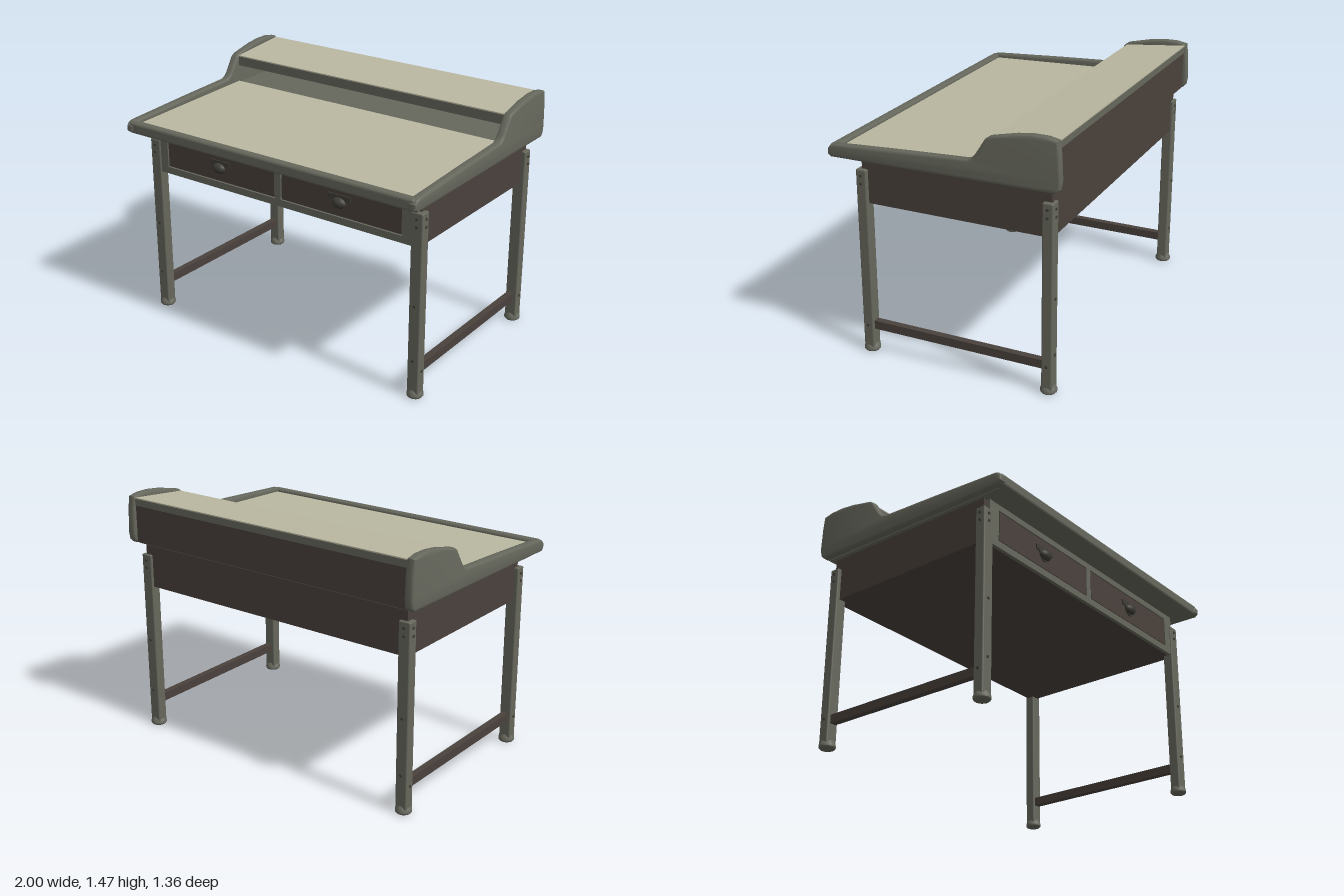
import * as THREE from 'three';
import { toCreasedNormals } from 'three/addons/utils/BufferGeometryUtils.js';
import { RoundedBoxGeometry } from 'three/addons/geometries/RoundedBoxGeometry.js';

const paint = (name, color) => {
  const m = new THREE.MeshStandardMaterial({ color });
  m.name = name;
  return m;
};

export function createModel() {
  const desk = new THREE.Group();
  desk.name = 'writingDesk';
  const frameGreen = paint('greyGreen', 0x66675c);
  const panelBrown = paint('darkBrown', 0x4a413c);
  const topCream = paint('cream', 0xbab8a1);
  const ironDark = paint('darkIron', 0x3f3d37);

  const add = (name, geometry, material, x = 0, y = 0, z = 0, parent = desk) => {
    const mesh = new THREE.Mesh(geometry, material);
    mesh.name = name;
    mesh.position.set(x, y, z);
    parent.add(mesh);
    return mesh;
  };
  // box given by its lower and upper limits on each axis
  const block = (name, material, [x0, x1], [y0, y1], [z0, z1], r = 0) => {
    const s = [x1 - x0, y1 - y0, z1 - z0];
    const g = r ? new RoundedBoxGeometry(...s, 2, r) : new THREE.BoxGeometry(...s);
    return add(name, g, material, (x0 + x1) / 2, (y0 + y1) / 2, (z0 + z1) / 2);
  };
  // side profile of [z, y] points extruded across x, centred on x = 0
  const prism = (points, width, bevel = 0) => {
    const shape = new THREE.Shape(points.map(([z, y]) => new THREE.Vector2(z, y)));
    const depth = width - 2 * bevel;
    const g = new THREE.ExtrudeGeometry(shape, {
      depth, bevelEnabled: bevel > 0, bevelSize: bevel, bevelOffset: -bevel,
      bevelThickness: bevel, bevelSegments: 3,
    });
    g.translate(0, 0, -depth / 2);
    g.rotateY(-Math.PI / 2);
    return toCreasedNormals(g, 0.6);
  };

  // shaped side boards
  const sideProfile = [
    [0.66, 1.165], [0.68, 1.18], [0.68, 1.21], [0.665, 1.23], [0.64, 1.239],
    [0.2, 1.264], [-0.16, 1.281], [-0.185, 1.292], [-0.205, 1.315], [-0.262, 1.405],
    [-0.285, 1.421], [-0.36, 1.438], [-0.43, 1.454], [-0.52, 1.465], [-0.6, 1.465],
    [-0.66, 1.453], [-0.67, 1.38], [-0.677, 1.24], [-0.67, 1.195], [-0.65, 1.176],
  ];
  for (const s of [-1, 1]) {
    add(s > 0 ? 'leftSideBoard' : 'rightSideBoard', prism(sideProfile, 0.052, 0.013),
      frameGreen, s * 0.974);
  }

  // sloping writing surface with a front rail
  add('topBoard', prism([
    [0.64, 1.165], [0.64, 1.209], [-0.28, 1.239], [-0.64, 1.245], [-0.64, 1.172],
  ], 1.9), frameGreen);
  add('writingSurface', prism([
    [0.635, 1.2], [0.635, 1.216], [-0.275, 1.246], [-0.275, 1.23],
  ], 1.9), topCream);
  block('frontRail', frameGreen, [-0.985, 0.985], [1.165, 1.236], [0.622, 0.676], 0.018);

  // raised shelf at the back
  add('shelfLid', prism([
    [-0.278, 1.348], [-0.278, 1.404], [-0.655, 1.44], [-0.655, 1.4], [-0.3, 1.375],
    [-0.3, 1.348],
  ], 1.9), frameGreen);
  add('shelfTop', prism([
    [-0.28, 1.404], [-0.28, 1.411], [-0.655, 1.447], [-0.655, 1.44],
  ], 1.9), topCream);
  block('shelfBack', panelBrown, [-0.95, 0.95], [1.18, 1.41], [-0.652, -0.625]);

  // drawer body
  block('drawerBody', panelBrown, [-0.928, 0.928], [0.904, 1.17], [-0.606, 0.51]);

  // front frame with two drawer openings
  const rect = (target, x0, x1, y0, y1) => {
    target.moveTo(x0, y0);
    target.lineTo(x1, y0);
    target.lineTo(x1, y1);
    target.lineTo(x0, y1);
    target.closePath();
    return target;
  };
  const front = rect(new THREE.Shape(), -0.9, 0.9, 0.902, 1.168);
  for (const s of [-1, 1]) {
    const xs = [s * 0.02, s * 0.825].sort((a, b) => a - b);
    front.holes.push(rect(new THREE.Path(), ...xs, 0.943, 1.13));
  }
  add('frontFrame', new THREE.ExtrudeGeometry(front, { depth: 0.022, bevelEnabled: false }),
    frameGreen, 0, 0, 0.508);

  // drawer fronts and their cup handles
  const plate = new THREE.Shape();
  plate.moveTo(-0.075, 1.075);
  plate.lineTo(-0.073, 1.048);
  plate.quadraticCurveTo(-0.042, 1.045, -0.036, 1.015);
  plate.quadraticCurveTo(0, 0.965, 0.036, 1.015);
  plate.quadraticCurveTo(0.042, 1.045, 0.073, 1.048);
  plate.lineTo(0.075, 1.075);
  plate.closePath();
  for (const s of [-1, 1]) {
    const x = s * 0.4225;
    block('drawerFront', panelBrown, [x - 0.396, x + 0.396], [0.949, 1.124], [0.5, 0.528]);
    const handle = new THREE.Group();
    handle.name = 'drawerHandle';
    handle.position.set(x, 0, 0.527);
    desk.add(handle);
    add('handlePlate', new THREE.ExtrudeGeometry(plate, { depth: 0.008, bevelEnabled: false }),
      ironDark, 0, 0, 0, handle);
    const cup = add('handleCup', new THREE.SphereGeometry(1, 20, 12), ironDark, 0, 1.03, 0.006, handle);
    cup.scale.set(0.045, 0.032, 0.03);
  }

  // legs, feet, bolts and side stretchers
  const footProfile = [[0, 0], [0.04, 0], [0.047, 0.008], [0.047, 0.022], [0.04, 0.034], [0.03, 0.05], [0, 0.05]]
    .map(([r, y]) => new THREE.Vector2(r, y));
  const foot = toCreasedNormals(new THREE.LatheGeometry(footProfile, 16), 0.7);
  const bolt = new THREE.CylinderGeometry(0.008, 0.008, 0.008, 10);
  for (const s of [-1, 1]) {
    for (const [z, facing] of [[0.507, 1], [-0.59, -1]]) {
      const x = s * 0.917;
      block('leg', frameGreen, [x - 0.036, x + 0.036], [0.02, 1.1], [z - 0.031, z + 0.031], 0.008);
      add('foot', foot, frameGreen, x, 0, z);
      for (const y of [0.23, 0.56, 1.02, 1.065]) {
        add('legBolt', bolt, ironDark, x, y, z + facing * 0.032).rotation.x = Math.PI / 2;
      }
      for (const y of [0.165, 1.02, 1.065]) {
        add('sideBolt', bolt, ironDark, x + s * 0.037, y, z).rotation.z = Math.PI / 2;
      }
    }
    block('stretcher', panelBrown, [s * 0.915 - 0.02, s * 0.915 + 0.02], [0.14, 0.19], [-0.57, 0.49]);
  }
  return desk;
}
